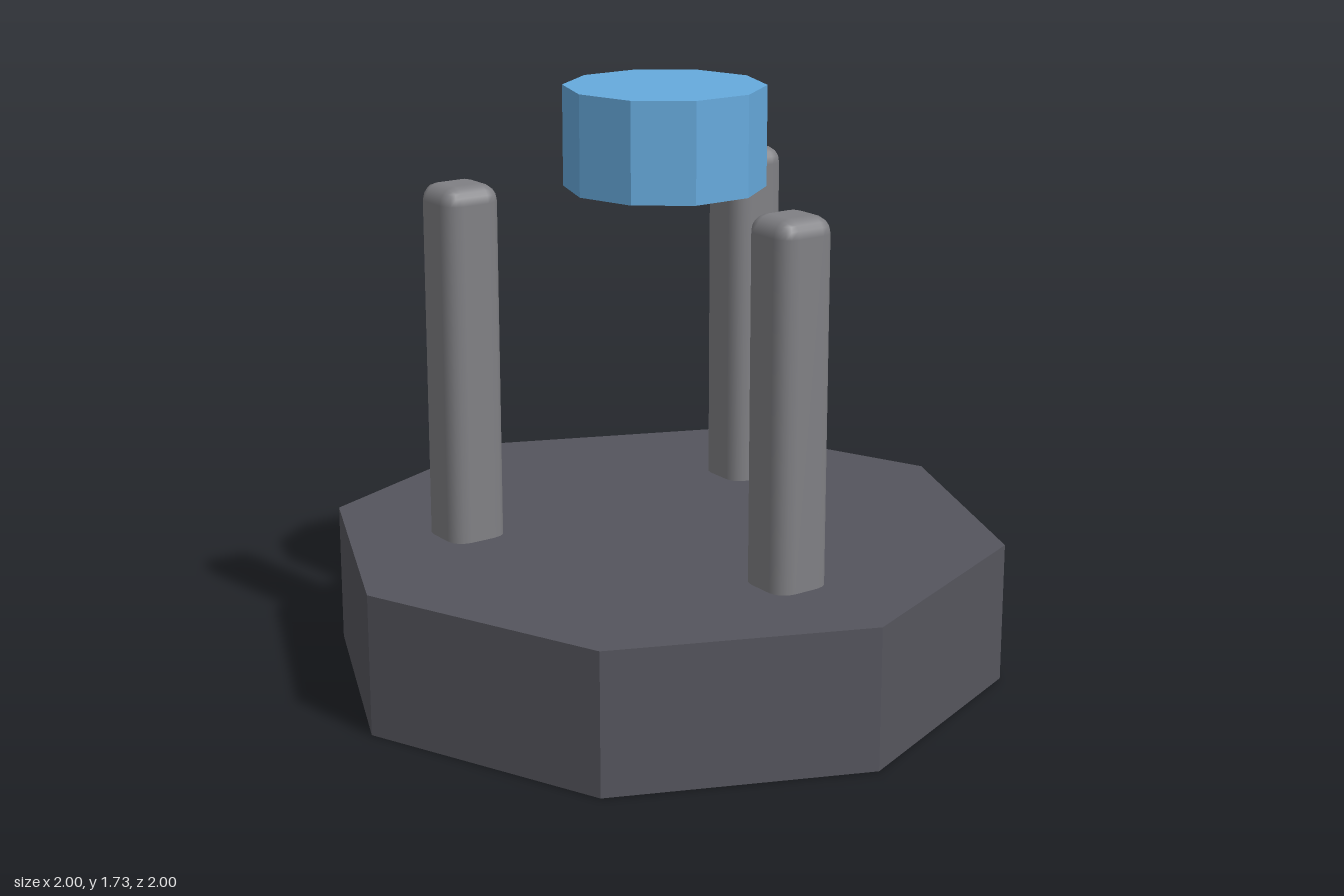
import * as THREE from 'three';
import { RoundedBoxGeometry } from 'three/addons/geometries/RoundedBoxGeometry.js';

const material = (name, color) => {
  const m = new THREE.MeshStandardMaterial({ color });
  m.name = name;
  return m;
};

export function createModel() {
  const group = new THREE.Group();
  group.name = 'pedestal';
  const darkGrey = material('darkGrey', 0x55555d);
  const midGrey = material('midGrey', 0x808084);
  const blue = material('blue', 0x66aadd);
  darkGrey.flatShading = true;
  blue.flatShading = true;

  const add = (name, geometry, mat, x, y, z) => {
    const mesh = new THREE.Mesh(geometry, mat);
    mesh.name = name;
    mesh.position.set(x, y, z);
    group.add(mesh);
  };

  // Octagonal base, with a corner pointing along each axis
  const baseHeight = 0.415;
  add('base', new THREE.CylinderGeometry(1, 1, baseHeight, 8), darkGrey, 0, baseHeight / 2, 0);

  // Three rounded pillars in a ring, their lower ends sunk into the base
  const pillarTop = 1.46, pillarBottom = 0.36, ring = 0.583;
  const pillar = new RoundedBoxGeometry(0.18, pillarTop - pillarBottom, 0.18, 2, 0.05);
  for (let i = 0; i < 3; i++) {
    const a = (i * Math.PI * 2) / 3;
    add('pillar' + (i + 1), pillar, midGrey,
      Math.cos(a) * ring, (pillarTop + pillarBottom) / 2, Math.sin(a) * ring);
  }

  // Ten-sided disc floating above the centre
  add('floatingDisc', new THREE.CylinderGeometry(0.29, 0.29, 0.29, 10), blue, 0, 1.585, 0);

  return group;
}
